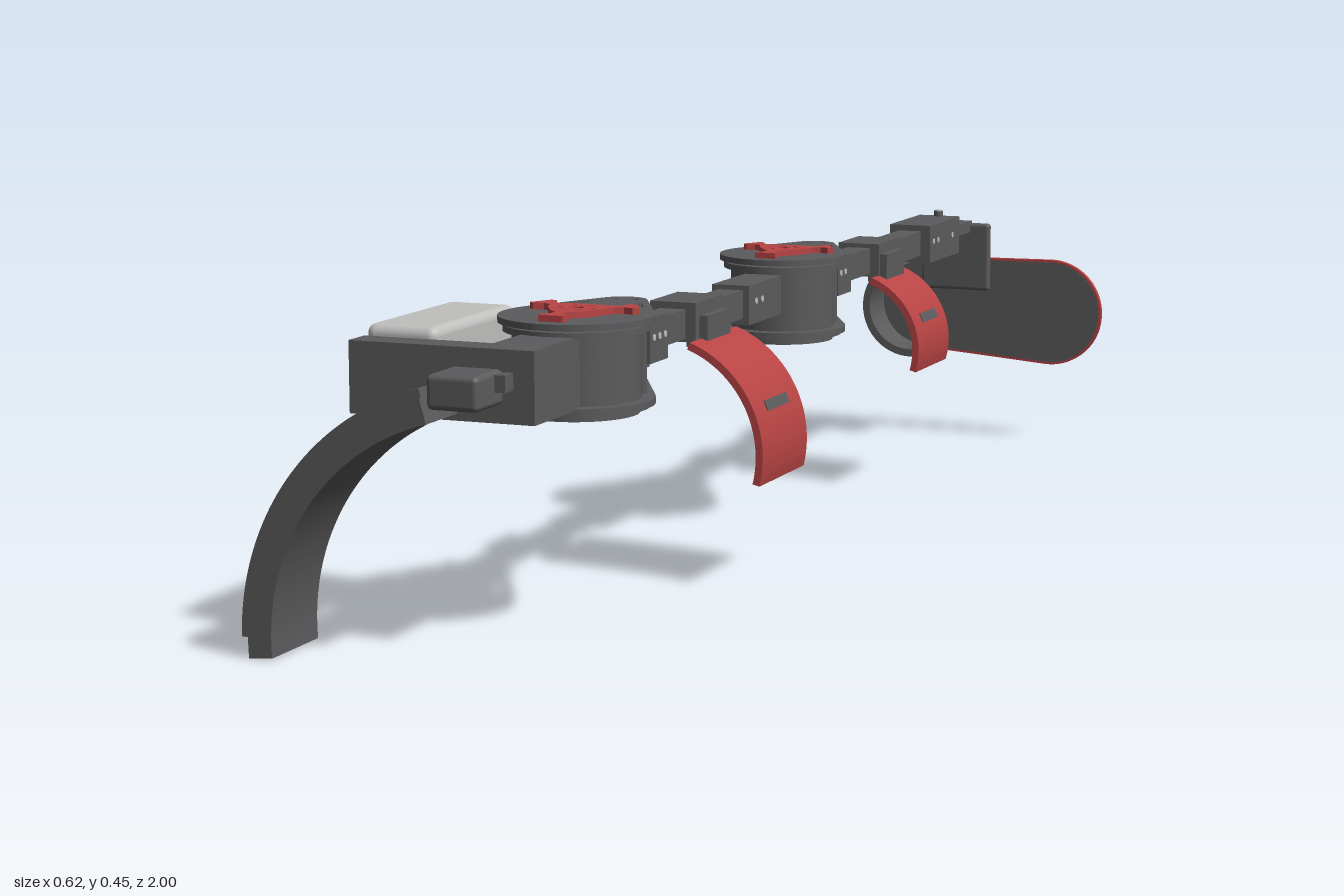
import * as THREE from 'three';
import { RoundedBoxGeometry } from 'three/addons/geometries/RoundedBoxGeometry.js';
import { toCreasedNormals } from 'three/addons/utils/BufferGeometryUtils.js';

const material = (name, color) => Object.assign(new THREE.MeshStandardMaterial({ color }), { name });

export function createModel() {
  const root = new THREE.Group();
  root.name = 'legFrame';
  const dark = material('dark grey', 0x5b5b5d);
  const red = material('red', 0xb84444);
  const light = material('light grey', 0xbfc0be);
  const CX = 0.04; // x of the long beam

  const add = (name, geo, mat, parent = root) => {
    const m = new THREE.Mesh(geo, mat);
    m.name = name;
    parent.add(m);
    return m;
  };
  // box from its limits
  const box = (name, x0, x1, y0, y1, z0, z1, mat = dark, r = 0) => {
    const s = [x1 - x0, y1 - y0, z1 - z0];
    const geo = r ? new RoundedBoxGeometry(...s, 4, r) : new THREE.BoxGeometry(...s);
    return add(name, geo.translate((x0 + x1) / 2, (y0 + y1) / 2, (z0 + z1) / 2), mat);
  };
  const extrude = (shape, depth) => toCreasedNormals(
    new THREE.ExtrudeGeometry(shape, { depth, bevelEnabled: false, curveSegments: 32 }), 0.5);
  // curved band in the xy plane, extruded along z, angles in degrees
  const band = (name, cx, cy, r0, r1, a0, a1, z0, z1, mat) => {
    const [s, e] = [a0, a1].map(THREE.MathUtils.degToRad);
    const shape = new THREE.Shape();
    shape.absarc(cx, cy, r1, s, e, false);
    shape.absarc(cx, cy, r0, e, s, true);
    shape.closePath();
    return add(name, extrude(shape, z1 - z0).translate(0, 0, z0), mat);
  };
  // outline around a circle at the origin and a smaller one at (0, d)
  const teardrop = (R, r, d) => {
    const a = Math.asin((R - r) / d);
    const s = new THREE.Shape();
    s.absarc(0, 0, R, Math.PI - a, 2 * Math.PI + a, false);
    s.absarc(0, d, r, a, Math.PI - a, false);
    s.closePath();
    return s;
  };
  const hole = (shape, x, y, r) => shape.holes.push(new THREE.Path().absarc(x, y, r, 0, Math.PI * 2, true));
  const poly = pts => pts.map(p => new THREE.Vector2(...p));

  // three-armed cover with flared arm tips
  const starShape = () => {
    const pts = [];
    for (let i = 0; i < 3; i++) {
      const a = -Math.PI / 2 + i * Math.PI * 2 / 3;
      const arm = [[0.033, -0.024], [0.05, -0.009], [0.064, -0.009], [0.074, -0.02], [0.084, -0.018],
        [0.084, 0.018], [0.074, 0.02], [0.064, 0.009], [0.05, 0.009], [0.033, 0.024]];
      for (const [u, v] of arm) pts.push([u * Math.cos(a) - v * Math.sin(a), u * Math.sin(a) + v * Math.cos(a)]);
    }
    const s = new THREE.Shape(poly(pts));
    hole(s, 0, 0, 0.01);
    for (let i = 0; i < 6; i++) hole(s, 0.024 * Math.cos(i * Math.PI / 3), 0.024 * Math.sin(i * Math.PI / 3), 0.004);
    return s;
  };

  // joint actuator: barrel, end plates, star cover and clevis block
  const actuator = (name, z, y, scale) => {
    const g = new THREE.Group();
    g.name = name;
    g.position.set(CX, y, z);
    g.scale.set(scale, 1, scale);
    root.add(g);
    const flat = (part, shape, y0, h, mat = dark) =>
      add(part, extrude(shape, h).rotateX(-Math.PI / 2).translate(0, y0, 0), mat, g);
    const disc = (part, r, y0, y1) =>
      add(part, new THREE.CylinderGeometry(r, r, y1 - y0, 48).translate(0, (y0 + y1) / 2, 0), dark, g);
    disc('barrel', 0.088, -0.055, 0.05);
    disc('topCollar', 0.1, 0.043, 0.052);
    disc('bottomCollar', 0.1, -0.062, -0.058);
    for (const [part, y0] of [['topPlate', 0.055], ['bottomPlate', -0.058]]) {
      const s = teardrop(0.107, 0.036, 0.152);
      for (const k of [-1, 1]) {
        s.holes.push(new THREE.Path(poly([[k * 0.03, 0.102], [k * 0.057, 0.097], [k * 0.038, 0.135]])));
        hole(s, k * 0.016, 0.163, 0.005);
      }
      flat(part, s, y0, 0.009);
    }
    disc('topHub', 0.08, 0.05, 0.056);
    flat('starCover', starShape(), 0.064, 0.009, red);
    // stepped rings underneath
    for (const [r0, r1, h] of [[0.07, 0.086, 0.008], [0.035, 0.052, 0.008]]) {
      const s = new THREE.Shape().absarc(0, 0, r1, 0, Math.PI * 2, false);
      hole(s, 0, 0, r0);
      flat('bottomRing', s, -0.062 - h, h);
    }
    add('clevisBlock', new THREE.BoxGeometry(0.06, 0.075, 0.07).translate(0, 0.005, -0.145), dark, g);
    for (const k of [-1, 1]) {
      add('spacer', new THREE.CylinderGeometry(0.007, 0.007, 0.113, 12).translate(k * 0.07, 0, -0.06), dark, g);
    }
  };
  actuator('hipActuator', 0.685, 0.377, 1);
  actuator('kneeActuator', -0.095, 0.372, 0.92);

  // long beam in two runs, with collars
  box('thighBeam', 0.02, 0.06, 0.362, 0.405, 0.05, 0.5);
  box('shinBeam', 0.02, 0.06, 0.362, 0.405, -0.8, -0.25);
  for (const [name, hw, y0, y1, z0, z1] of [
    ['hipCollar', 0.037, 0.35, 0.415, 0.455, 0.52],
    ['thighSleeve', 0.036, 0.357, 0.415, 0.245, 0.35],
    ['kneeUpperCollar', 0.03, 0.352, 0.412, -0.01, 0.125],
    ['kneeLowerCollar', 0.036, 0.35, 0.412, -0.312, -0.25],
    ['shinSleeve', 0.036, 0.357, 0.412, -0.55, -0.45],
    ['ankleCollar', 0.037, 0.35, 0.415, -0.88, -0.715],
  ]) box(name, CX - hw, CX + hw, y0, y1, z0, z1);

  // bolt dots on both sides of the collars
  for (const [hw, zs] of [[0.037, [0.465, 0.485, 0.505]], [0.036, [0.285, 0.315]], [0.03, [0.07, 0.095]],
    [0.036, [-0.265, -0.285]], [0.036, [-0.485, -0.515]], [0.037, [-0.735, -0.76, -0.84]]]) {
    for (const z of zs) for (const k of [-1, 1]) {
      add('boltDot', new THREE.CylinderGeometry(0.005, 0.005, 0.002, 12).rotateZ(Math.PI / 2)
        .translate(CX + k * hw, 0.386, z), light);
    }
  }

  // limb cuffs with a dark strap slot, hung from the sleeves
  const cuff = (name, cx, cy, r, a0, a1, z0, z1, slotY) => {
    band(name, cx, cy, r - 0.011, r, a0, a1, z0, z1, red);
    const a = Math.asin((slotY - cy) / r) * 180 / Math.PI;
    const half = 0.008 / r * 180 / Math.PI;
    const zm = (z0 + z1) / 2, hz = (z1 - z0) * 0.24;
    band(name + 'Slot', cx, cy, r - 0.0125, r + 0.0015, a - half, a + half, zm - hz, zm + hz, dark);
    box(name + 'Mount', 0.055, 0.088, 0.348, 0.395, zm - 0.045, zm + 0.045);
  };
  cuff('thighCuff', 0.02, 0.2, 0.172, -14, 70, 0.2, 0.38, 0.268);
  cuff('shinCuff', 0.03, 0.24, 0.127, -16, 70, -0.58, -0.42, 0.29);

  // hip bracket and power pack
  box('hipBracket', -0.19, 0.08, 0.325, 0.423, 0.86, 0.905);
  box('hipNeck', 0, 0.08, 0.325, 0.423, 0.75, 0.9);
  box('powerPack', -0.19, -0.083, 0.322, 0.439, 0.612, 0.86, light, 0.014);

  // waist arc and its connector
  band('waistArc', 0.05, 0.03, 0.315, 0.35, 105, 184.5, 0.87, 0.995, dark);
  band('waistArcShell', 0.05, 0.03, 0.35, 0.362, 105, 180, 0.875, 0.99, dark);
  box('waistConnector', -0.04, 0.035, 0.35, 0.397, 0.9, 0.98, dark, 0.008);
  box('waistTab', 0.02, 0.05, 0.37, 0.393, 0.9, 0.93);

  // ankle arm and drop plate
  box('ankleArm', 0.015, 0.067, 0.376, 0.396, -0.985, -0.87);
  box('anklePlate', -0.025, 0.103, 0.27, 0.392, -0.99, -0.974, dark, 0.006);
  add('anklePin', new THREE.CylinderGeometry(0.008, 0.008, 0.078, 16).translate(CX, 0.385, -0.873), dark);
  add('anklePinCap', new THREE.CylinderGeometry(0.007, 0.007, 0.002, 16).translate(CX, 0.425, -0.873), light);

  // foot plate: red rim slab with a dark panel on each face
  const foot = (name, inset, z0, z1, mat) => add(name,
    extrude(teardrop(0.095 - inset, 0.084 - inset, 0.237), z1 - z0)
      .rotateZ(Math.PI / 2 - 0.034).translate(0.215, 0.235, z0), mat);
  foot('footRim', 0, -0.999, -0.989, red);
  foot('footSolePanel', 0.004, -1, -0.9985, dark);
  foot('footTopPanel', 0.004, -0.9895, -0.988, dark);

  // heel cup
  band('heelCup', -0.025, 0.242, 0.077, 0.09, 105, 280, -0.988, -0.91, dark);

  return root;
}
